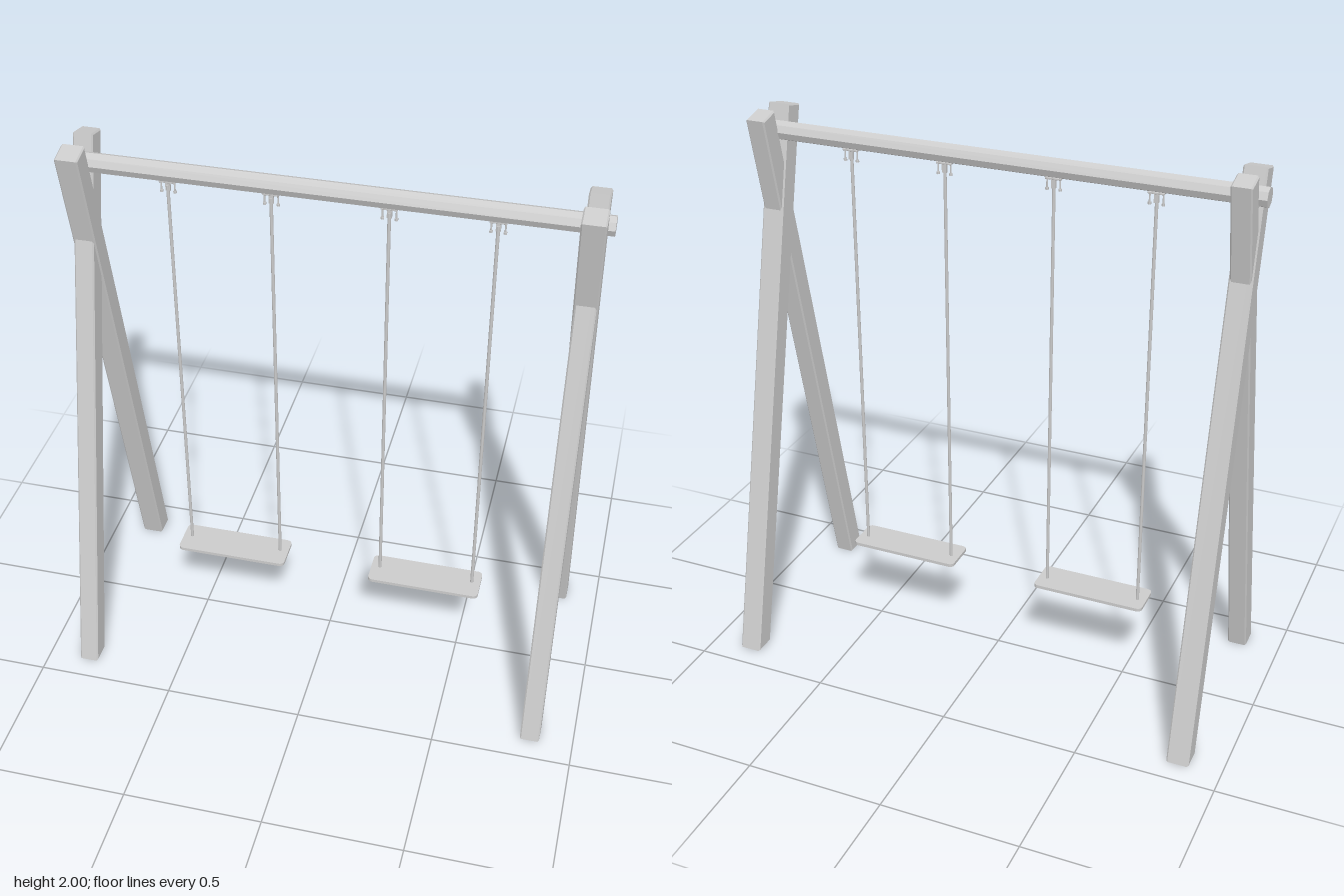
import * as THREE from 'three';
import { RoundedBoxGeometry } from 'three/addons/geometries/RoundedBoxGeometry.js';

const wood = new THREE.MeshStandardMaterial({ color: 0xcccccc, flatShading: true });
const metal = new THREE.MeshStandardMaterial({ color: 0xcccccc });

function add(parent, name, geometry, material, x = 0, y = 0, z = 0) {
  const mesh = new THREE.Mesh(geometry, material);
  mesh.name = name;
  mesh.position.set(x, y, z);
  parent.add(mesh);
  return mesh;
}

// Slanted post: flat at the ground, cut square at the top; dir = +1 stands in front
function legGeometry(dir, width) {
  const bevel = 0.005;
  const profile = [[0.42, 0], [-0.043, 2], [-0.12, 1.982], [0.34, 0]];
  const shape = new THREE.Shape(profile.map(([z, y]) => new THREE.Vector2(z * dir, y)));
  const geo = new THREE.ExtrudeGeometry(shape, {
    depth: width - 2 * bevel, bevelEnabled: true, bevelSize: bevel,
    bevelThickness: bevel, bevelOffset: -bevel, bevelSegments: 1,
  });
  geo.translate(0, 0, -(width - 2 * bevel) / 2);
  return geo.rotateY(-Math.PI / 2);
}

// Flat board with rounded corners
function seatGeometry(w, d, h, r) {
  const x = w / 2, y = d / 2;
  const s = new THREE.Shape();
  s.absarc(x - r, y - r, r, 0, Math.PI / 2);
  s.absarc(-x + r, y - r, r, Math.PI / 2, Math.PI);
  s.absarc(-x + r, -y + r, r, Math.PI, Math.PI * 1.5);
  s.absarc(x - r, -y + r, r, Math.PI * 1.5, Math.PI * 2);
  const geo = new THREE.ExtrudeGeometry(s, { depth: h, bevelEnabled: false, curveSegments: 4 });
  return geo.rotateX(-Math.PI / 2);
}

// Hanger under the beam: plate, two bolts with nuts, and a rope eye
function createHanger() {
  const hanger = new THREE.Group();
  hanger.name = 'hanger';
  add(hanger, 'plate', new RoundedBoxGeometry(0.056, 0.008, 0.02, 1, 0.002), metal, 0, 1.885, 0);
  for (const side of [-1, 1]) {
    add(hanger, 'bolt', new THREE.CylinderGeometry(0.003, 0.003, 0.05, 8), metal, side * 0.023, 1.868, 0);
    add(hanger, 'nut', new THREE.CylinderGeometry(0.006, 0.006, 0.008, 6), wood, side * 0.023, 1.847, 0);
  }
  add(hanger, 'clevis', new THREE.BoxGeometry(0.016, 0.035, 0.01), metal, 0, 1.868, 0);
  return hanger;
}

function createSwing(x) {
  const swing = new THREE.Group();
  swing.name = 'swing';
  add(swing, 'seat', seatGeometry(0.415, 0.136, 0.012, 0.018), metal, 0, 0.324, 0.011);
  for (const side of [-1, 1]) {
    add(swing, 'rope', new THREE.CylinderGeometry(0.006, 0.006, 1.54, 8), metal, side * 0.175, 1.1, 0.003);
    const hanger = createHanger();
    hanger.position.x = side * 0.175;
    swing.add(hanger);
  }
  swing.position.x = x;
  return swing;
}

export function createModel() {
  const model = new THREE.Group();
  model.name = 'swingSet';

  // Crossed leg pairs at both ends
  for (const side of [-1, 1]) {
    add(model, 'frontLeg', legGeometry(1, 0.07), wood, side * 0.845);
    add(model, 'backLeg', legGeometry(-1, 0.08), wood, side * 0.845);
  }

  // Round top beam resting in the crossed legs
  const beam = new THREE.CylinderGeometry(0.034, 0.034, 1.815, 8);
  beam.rotateZ(Math.PI / 2);
  add(model, 'beam', beam, wood, 0, 1.92, 0);

  // Two swings
  for (const x of [-0.37, 0.37]) model.add(createSwing(x));
  return model;
}
